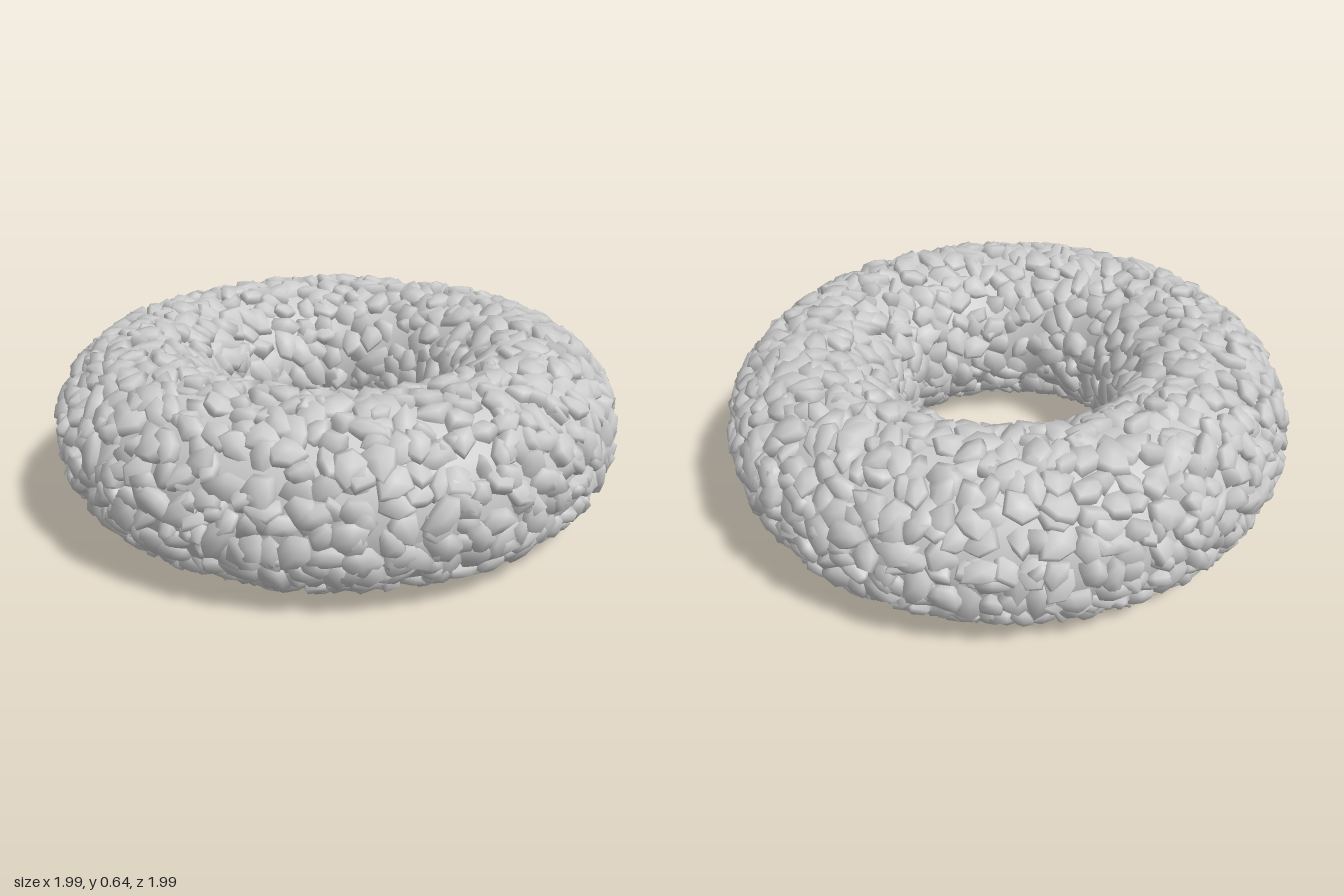
import * as THREE from 'three';
import { mergeGeometries, mergeVertices } from 'three/addons/utils/BufferGeometryUtils.js';

const RING = 0.68, TUBE = 0.32;

function makeRandom(seed) {
  return () => {
    seed = (seed * 1664525 + 1013904223) >>> 0;
    return seed / 4294967296;
  };
}

// Distance of a point from the circle running through the middle of the ring
const tubeDistance = (p) => Math.hypot(Math.hypot(p.x, p.z) - RING, p.y);

// Irregular low-poly chip: a lathed profile whose corners are pushed in and out
function chipShape(sides, phase) {
  const profile = [[0, -0.9], [0.75, -0.75], [1, 0.1], [0.82, 0.55], [0, 0.72]]
    .map(([x, y]) => new THREE.Vector2(x, y));
  const lathe = new THREE.LatheGeometry(profile, sides);
  lathe.deleteAttribute('uv');
  lathe.deleteAttribute('normal');
  const geo = mergeVertices(lathe, 1e-4);
  const pos = geo.attributes.position;
  for (let i = 0; i < pos.count; i++) {
    const x = pos.getX(i), y = pos.getY(i), z = pos.getZ(i);
    const a = Math.atan2(z, x);
    const k = 1 + 0.12 * Math.sin(2 * a + phase) + 0.12 * Math.sin(3 * a + phase * 2.3);
    pos.setXYZ(i, x * k, y + 0.1 * x * Math.sin(phase), z * k);
  }
  geo.computeVertexNormals();
  return geo;
}

export function createModel() {
  const group = new THREE.Group();
  const random = makeRandom(71);
  const range = (a, b) => a + (b - a) * random();
  const material = new THREE.MeshStandardMaterial({ color: 0xcccccc });

  // Solid core closing the gaps between chips
  const core = new THREE.Mesh(new THREE.TorusGeometry(RING, 0.28, 20, 64), material);
  core.rotation.x = Math.PI / 2;
  core.name = 'core';

  // Chips packed in jittered rows around the tube, fewer per row near the hole
  const shapes = [];
  for (let i = 0; i < 10; i++) shapes.push(chipShape(5 + (i % 3), i * 1.7));
  const chips = [];
  const up = new THREE.Vector3(0, 1, 0), p = new THREE.Vector3();
  const rows = 26;
  for (let row = 0; row < rows; row++) {
    const rowAngle = row / rows * Math.PI * 2;
    const count = Math.round(Math.PI * 2 * (RING + TUBE * Math.cos(rowAngle)) / 0.072);
    for (let i = 0; i < count; i++) {
      const v = rowAngle + range(-0.13, 0.13);
      const u = (i + (row % 2) / 2 + range(-0.4, 0.4)) / count * Math.PI * 2;
      const normal = new THREE.Vector3(
        Math.cos(v) * Math.cos(u), Math.sin(v), Math.cos(v) * Math.sin(u));

      // Lay the chip on the surface, spun and tilted at random
      const tilt = new THREE.Euler(range(-0.6, 0.6), range(0, 6.28), range(-0.6, 0.6));
      const turn = new THREE.Quaternion().setFromUnitVectors(up, normal)
        .multiply(new THREE.Quaternion().setFromEuler(tilt));
      const size = range(0.046, 0.062);
      const scale = new THREE.Vector3(size * range(1, 1.4), size * 0.9, size * range(0.75, 1.1));
      const place = new THREE.Vector3(Math.cos(u) * RING, 0, Math.sin(u) * RING)
        .addScaledVector(normal, TUBE - 0.03);
      const chip = shapes[Math.floor(random() * shapes.length)].clone();
      chip.applyMatrix4(new THREE.Matrix4().compose(place, turn, scale));

      // Sink it until its highest corner is just under the outer surface
      const pos = chip.attributes.position;
      let reach = 0;
      for (let k = 0; k < pos.count; k++) {
        reach = Math.max(reach, tubeDistance(p.fromBufferAttribute(pos, k)));
      }
      const shift = TUBE - range(0, 0.012) - reach;
      chip.translate(normal.x * shift, normal.y * shift, normal.z * shift);
      chips.push(chip);
    }
  }
  const shell = new THREE.Mesh(mergeGeometries(chips), material);
  shell.name = 'chips';

  group.add(core, shell);
  group.children.forEach((m) => { m.position.y = TUBE; });
  group.name = 'chipRing';
  return group;
}
